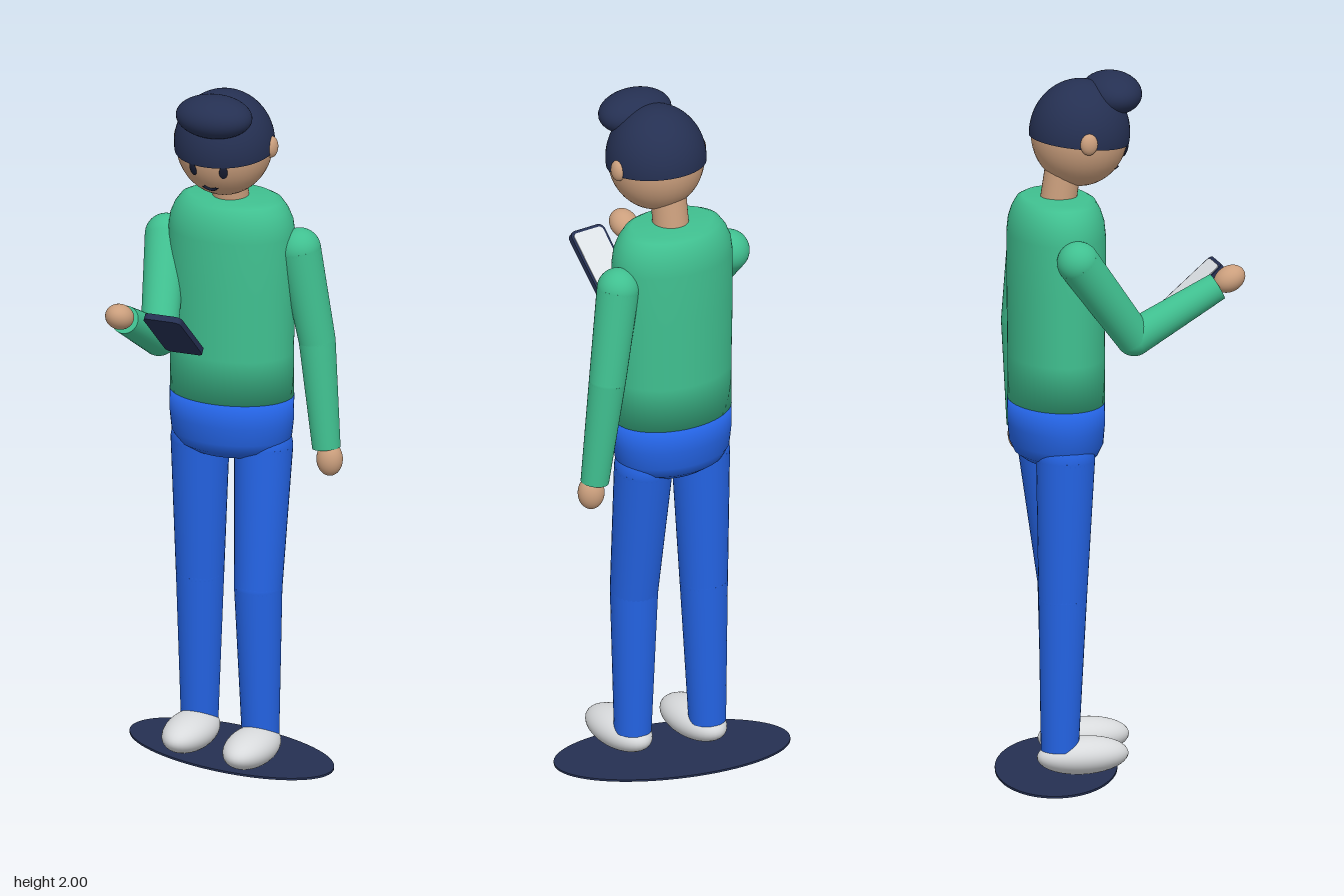
import * as THREE from 'three';

const YAW = 0.3;          // the body turns a little to its left
const V = (x, y, z) => new THREE.Vector3(x, y, z);

function flat(name, color) {
  const m = new THREE.MeshStandardMaterial({ color });
  m.name = name;
  return m;
}

export function createModel() {
  const navy = flat('navy', 0x253052);
  const green = flat('green', 0x40c090);
  const blue = flat('blue', 0x2463e3);
  const skin = flat('skin', 0xcb9f7d);
  const white = flat('shoe white', 0xd8dadc);
  const screenGrey = flat('screen grey', 0xdde2e6);
  const dark = flat('face dark', 0x171d33);

  const model = new THREE.Group();
  model.name = 'standingPerson';

  const add = (parent, name, geometry, material, pos = V(0, 0, 0)) => {
    const mesh = new THREE.Mesh(geometry, material);
    mesh.name = name;
    mesh.position.copy(pos);
    parent.add(mesh);
    return mesh;
  };
  const ball = (parent, name, material, pos, rx, ry = rx, rz = rx) =>
    add(parent, name, new THREE.SphereGeometry(1, 36, 24).scale(rx, ry, rz), material, pos);
  // tapered cylinder from a to b
  const limb = (parent, name, material, a, b, ra, rb) => {
    const dir = b.clone().sub(a);
    const mesh = add(parent, name, new THREE.CylinderGeometry(rb, ra, dir.length(), 32), material,
      a.clone().add(b).multiplyScalar(0.5));
    mesh.quaternion.setFromUnitVectors(V(0, 1, 0), dir.normalize());
    return mesh;
  };
  // two tapered segments with round joints
  const jointed = (name, material, pts, radii) => {
    const g = new THREE.Group();
    g.name = name;
    ball(g, name + 'TopJoint', material, pts[0], radii[0]);
    limb(g, name + 'Upper', material, pts[0], pts[1], radii[0], radii[1]);
    ball(g, name + 'MiddleJoint', material, pts[1], radii[1]);
    limb(g, name + 'Lower', material, pts[1], pts[2], radii[1], radii[2]);
    model.add(g);
    return g;
  };

  // ground disc
  add(model, 'baseDisc', new THREE.CylinderGeometry(1, 1, 0.006, 72).scale(0.343, 1, 0.172), navy, V(0, 0.003, -0.18));

  // torso and pelvis: oval turned profiles
  const body = new THREE.Group();
  body.name = 'body';
  body.position.z = -0.18;
  body.rotation.y = YAW;
  model.add(body);
  const oval = (name, material, profile) => add(body, name,
    new THREE.LatheGeometry(profile.map(([r, y]) => new THREE.Vector2(r, y)), 56).scale(0.184, 1, 0.135), material);
  oval('sweater', green, [[0, 1.07], [0.98, 1.07], [0.98, 1.2], [1, 1.4], [1, 1.55], [0.97, 1.59],
    [0.9, 1.62], [0.8, 1.645], [0.68, 1.655], [0, 1.658]]);
  oval('pelvis', blue, [[0, 0.885], [0.35, 0.888], [0.65, 0.9], [0.85, 0.92], [0.95, 0.95], [0.98, 1],
    [0.985, 1.07], [0, 1.07]]);

  // legs and shoes
  const legs = [
    ['leftLeg', V(0.092, 0.92, -0.208), V(0.107, 0.515, -0.166), V(0.112, 0.08, -0.17)],
    ['rightLeg', V(-0.092, 0.92, -0.152), V(-0.099, 0.515, -0.16), V(-0.107, 0.08, -0.168)],
  ];
  for (const [name, hip, knee, ankle] of legs) {
    jointed(name, blue, [hip, knee, ankle], [0.083, 0.068, 0.053]);
    const shoe = ball(model, name.replace('Leg', 'Shoe'), white, V(ankle.x + 0.021, 0.06, ankle.z + 0.064), 0.071, 0.053, 0.132);
    shoe.rotation.y = YAW;
  }

  // arms: left hangs, right is bent forward
  const armRadii = [0.06, 0.052, 0.04];
  jointed('leftArm', green, [V(0.182, 1.51, -0.258), V(0.222, 1.24, -0.286), V(0.258, 0.93, -0.283)], armRadii);
  ball(model, 'leftHand', skin, V(0.269, 0.898, -0.284), 0.038, 0.049, 0.036);
  jointed('rightArm', green, [V(-0.185, 1.51, -0.115), V(-0.084, 1.268, 0.04), V(-0.017, 1.4, 0.272)], armRadii);
  const rightHand = ball(model, 'rightHand', skin, V(-0.008, 1.42, 0.306), 0.04, 0.036, 0.047);
  rightHand.rotation.set(-0.5, YAW, 0, 'YXZ');

  // neck
  limb(model, 'neck', skin, V(0, 1.6, -0.18), V(0.006, 1.76, -0.158), 0.052, 0.05);

  // head with face, hair and bun
  const head = new THREE.Group();
  head.name = 'head';
  head.position.set(0.027, 1.832, -0.115);
  head.rotation.y = YAW;
  model.add(head);
  const R = 0.137, H = 0.15;
  const faceZ = (x, y) => R * Math.sqrt(1 - (x / R) ** 2 - (y / H) ** 2);
  ball(head, 'face', skin, V(0, 0, 0), R, H, R);
  const hair = add(head, 'hair',
    new THREE.SphereGeometry(1, 48, 24, 0, Math.PI * 2, 0, Math.PI * 0.535).scale(0.142, 0.154, 0.142), navy);
  hair.rotation.x = 0.1;
  // underside closes the rim of the hair cap
  const rim = add(hair, 'hairRim', new THREE.RingGeometry(0.125, 0.1412, 48), navy, V(0, -0.0169, 0));
  rim.rotation.x = Math.PI / 2;
  ball(head, 'hairBun', navy, V(0.007, 0.108, 0.095), 0.111, 0.06, 0.084);
  for (const s of [-1, 1]) {
    ball(head, s > 0 ? 'leftEar' : 'rightEar', skin, V(s * 0.137, 0, -0.012), 0.018, 0.031, 0.025);
    const x = s * 0.046, y = -0.046;
    const eye = ball(head, s > 0 ? 'leftEye' : 'rightEye', dark, V(x, y, faceZ(x, y)), 0.012, 0.021, 0.005);
    eye.rotation.set(0.3, s * 0.36, 0, 'YXZ');
  }
  const arc = Math.PI - 0.5;
  const mouth = add(head, 'mouth', new THREE.TorusGeometry(0.022, 0.004, 8, 24, arc).rotateZ(Math.PI + 0.25),
    dark, V(0, -0.092, faceZ(0, -0.092) + 0.002));
  mouth.rotation.x = 0.65;

  // tablet: rounded plates, screen facing the person
  const plate = (w, l, r, t) => {
    const s = new THREE.Shape(), x = w / 2, y = l / 2;
    s.moveTo(-x + r, -y);
    s.lineTo(x - r, -y);
    s.absarc(x - r, -y + r, r, -Math.PI / 2, 0);
    s.absarc(x - r, y - r, r, 0, Math.PI / 2);
    s.absarc(-x + r, y - r, r, Math.PI / 2, Math.PI);
    s.absarc(-x + r, -y + r, r, Math.PI, Math.PI * 1.5);
    return new THREE.ExtrudeGeometry(s, { depth: t, bevelEnabled: false, curveSegments: 8 }).rotateX(-Math.PI / 2);
  };
  const tablet = new THREE.Group();
  tablet.name = 'tablet';
  tablet.position.set(0.09, 1.357, 0.187);
  tablet.rotation.set(-0.71, YAW, 0, 'YXZ');
  model.add(tablet);
  add(tablet, 'tabletCase', plate(0.112, 0.24, 0.018, 0.018), navy, V(0, -0.009, 0));
  add(tablet, 'tabletScreen', plate(0.097, 0.222, 0.012, 0.003), screenGrey, V(0, 0.0085, 0));

  return model;
}
